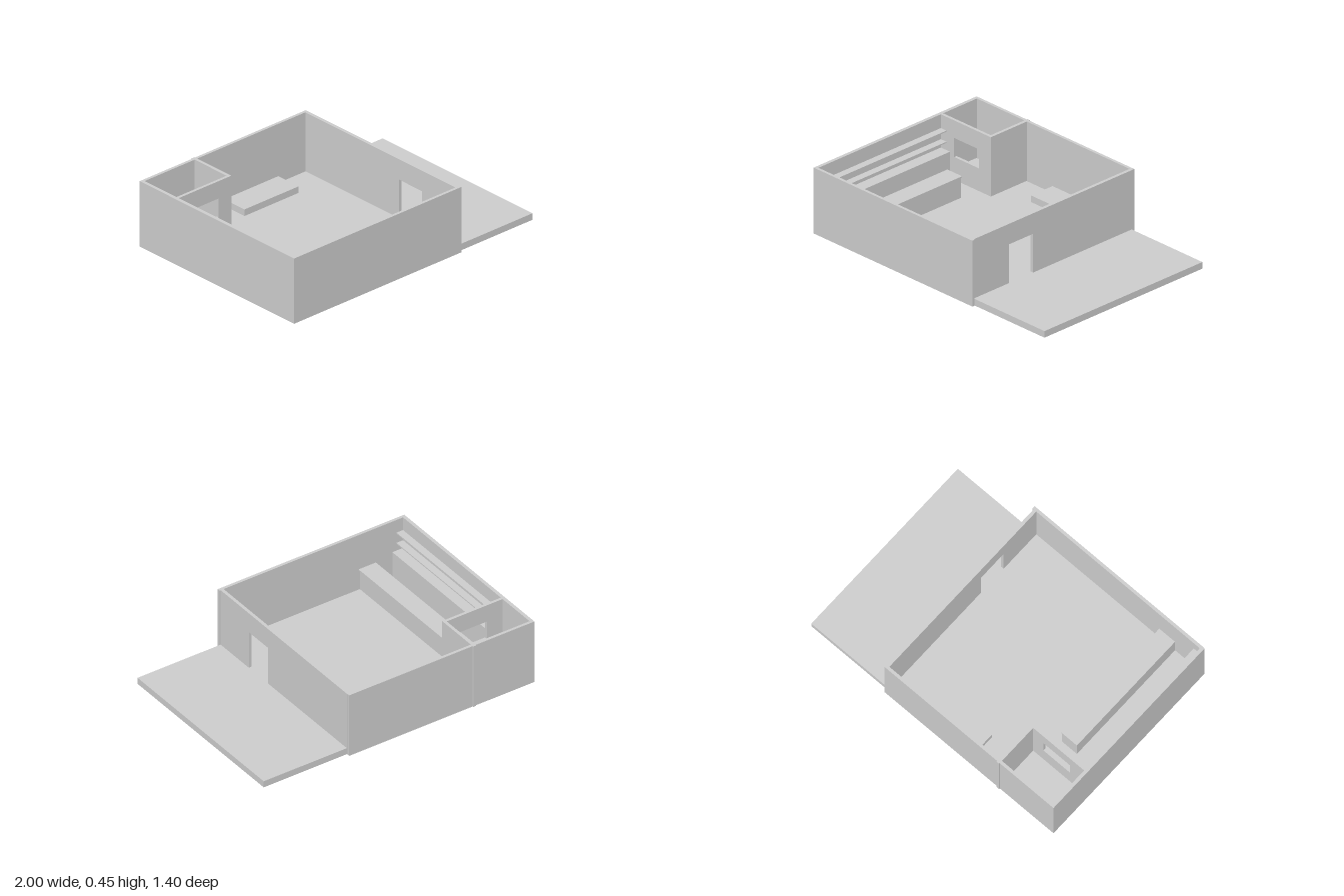
import * as THREE from 'three';

const material = new THREE.MeshStandardMaterial({ color: 0xcccccc, flatShading: true });

// Box given by its limits on each axis
function block(name, [x0, x1], [y0, y1], [z0, z1]) {
  const geo = new THREE.BoxGeometry(x1 - x0, y1 - y0, z1 - z0);
  geo.translate((x0 + x1) / 2, (y0 + y1) / 2, (z0 + z1) / 2);
  const mesh = new THREE.Mesh(geo, material);
  mesh.name = name;
  return mesh;
}

// Upright wall along x, from u0 to u1, with one rectangular opening
function openWall(name, [u0, u1], [y0, y1], thickness, [a0, a1], [b0, b1]) {
  const rect = (path, l, r, b, t) =>
    path.moveTo(l, b).lineTo(r, b).lineTo(r, t).lineTo(l, t).closePath();
  const shape = rect(new THREE.Shape(), u0, u1, y0, y1);
  shape.holes.push(rect(new THREE.Path(), a0, a1, b0, b1));
  const geo = new THREE.ExtrudeGeometry(shape, { depth: thickness, bevelEnabled: false });
  const mesh = new THREE.Mesh(geo, material);
  mesh.name = name;
  return mesh;
}

export function createModel() {
  const model = new THREE.Group();
  model.name = 'roomWithTerrace';
  const H = 0.45;      // wall height
  const F = 0.045;     // floor level

  // Floor slab running out into the terrace
  model.add(block('floorSlab', [-0.995, 1], [0, F], [-0.67, 0.677]));

  // Outer walls
  model.add(block('frontWall', [-1, 0.39], [0, H], [0.677, 0.697]));
  model.add(block('backWall', [-1, 0.38], [0, H], [-0.693, -0.673]));
  model.add(block('leftWall', [-1, -0.977], [0, H], [-0.673, 0.677]));

  // Terrace wall with doorway; local x runs along -z after the turn
  const doorWall = openWall('doorWall', [-0.677, 0.673], [0, H], 0.022, [-0.377, -0.17], [F, 0.31]);
  doorWall.rotation.y = Math.PI / 2;
  doorWall.position.x = 0.359;
  model.add(doorWall);

  // Corner closet with serving hatch
  const closet = new THREE.Group();
  closet.name = 'closet';
  const hatchWall = openWall('hatchWall', [-0.977, -0.54], [0, H], 0.02, [-0.86, -0.645], [0.2, 0.33]);
  hatchWall.position.z = -0.386;
  closet.add(hatchWall);
  closet.add(block('closetSideWall', [-0.561, -0.54], [0, H], [-0.699, -0.386]));
  model.add(closet);

  // Back bar and the two shelves above it
  const bar = new THREE.Group();
  bar.name = 'bar';
  const run = [-0.366, 0.677];
  bar.add(block('backBar', [-0.977, -0.897], [F, 0.223], run));
  for (const y of [0.272, 0.348]) {
    bar.add(block('shelf', [-0.977, -0.928], [y, y + 0.008], run));
  }

  // Serving counter
  bar.add(block('counterBody', [-0.775, -0.655], [F, 0.187], [-0.225, 0.677]));
  bar.add(block('counterTop', [-0.775, -0.646], [0.187, 0.195], [-0.225, 0.677]));
  model.add(bar);

  // Low stage against the back wall
  model.add(block('stage', [-0.315, 0.135], [F, 0.09], [-0.673, -0.49]));

  return model;
}
